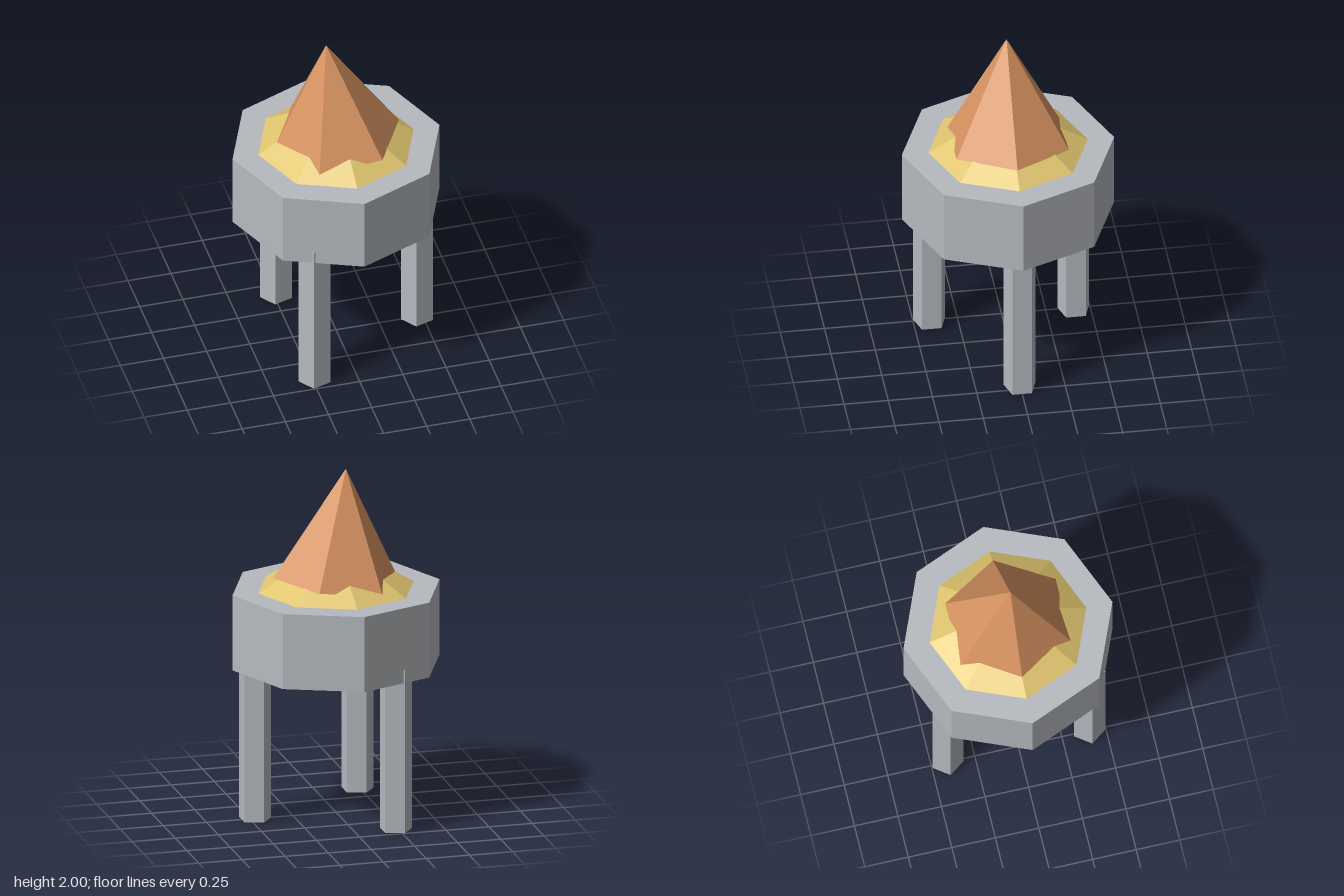
import * as THREE from 'three';

export function createModel() {
  const model = new THREE.Group();
  model.name = 'spiredTank';

  const material = (name, color) => {
    const m = new THREE.MeshStandardMaterial({ color, flatShading: true });
    m.name = name;
    return m;
  };
  const grey = material('grey metal', 0xb6babf);
  const yellow = material('yellow collar', 0xdfc56f);
  const orange = material('orange spire', 0xd99462);

  // Upright prism or cone standing on its own origin, first corner at the given angle
  const prism = (name, top, bottom, height, sides, start, mat) => {
    const geo = new THREE.CylinderGeometry(top, bottom, height, sides, 1, false, start);
    geo.translate(0, height / 2, 0);
    const mesh = new THREE.Mesh(geo, mat);
    mesh.name = name;
    model.add(mesh);
    return mesh;
  };

  // Three five-sided legs, all turned the same way, sunk slightly into the drum
  for (let i = 0; i < 3; i++) {
    const a = (i * Math.PI * 2) / 3;
    const leg = prism('leg' + (i + 1), 0.0945, 0.0945, 0.95, 5, -Math.PI / 2, grey);
    leg.position.set(0.47 * Math.cos(a), 0, 0.47 * Math.sin(a));
  }

  // Octagonal drum
  prism('drum', 0.6, 0.6, 0.4375, 8, 0, grey).position.y = 0.875;

  // Shallow eight-sided collar
  prism('collar', 0, 0.45, 0.272, 8, 0, yellow).position.y = 1.3125;

  // Six-sided spire, leaning a little to the right
  const spire = prism('spire', 0, 0.366, 0.64, 6, Math.PI / 2, orange);
  spire.position.y = 1.3625;
  spire.rotation.z = 0.09;

  return model;
}
